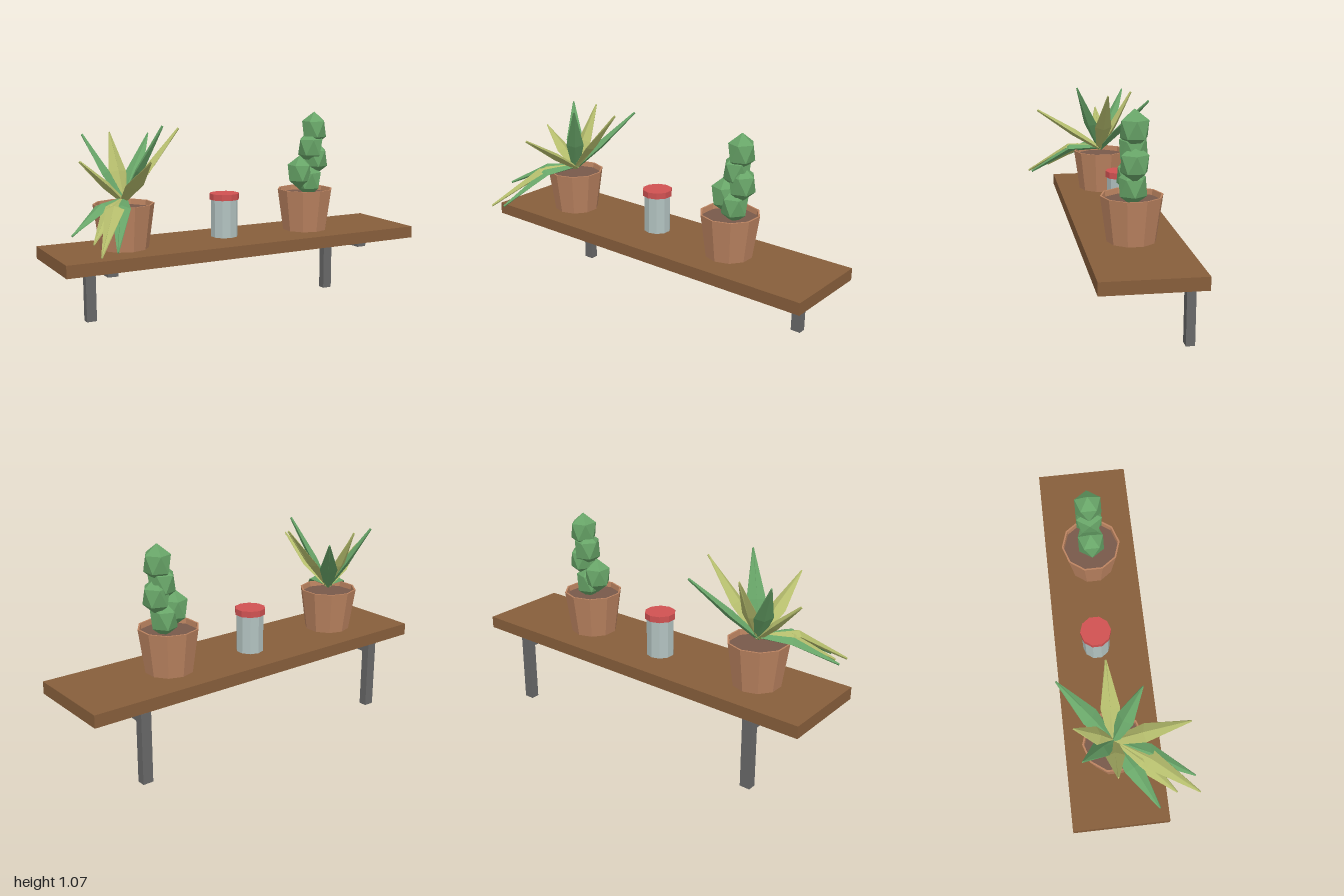
import * as THREE from 'three';

const mat = (name, color, extra = {}) =>
  Object.assign(new THREE.MeshStandardMaterial({ color, flatShading: true, ...extra }), { name });

export function createModel() {
  const root = new THREE.Group();
  root.name = 'plantShelf';
  const wood = mat('wood', 0x875e3b);
  const metal = mat('metal', 0x686868);
  const clay = mat('clay', 0xbb8360);
  const soil = mat('soil', 0x78594a);
  const tin = mat('tin', 0xb2c2c0);
  const red = mat('red', 0xd05252);
  const green = mat('green', 0x68a568);
  const olive = mat('olive', 0xb4bc6c);

  const add = (parent, name, geo, material, x = 0, y = 0, z = 0) => {
    const mesh = new THREE.Mesh(geo, material);
    mesh.name = name;
    mesh.position.set(x, y, z);
    parent.add(mesh);
    return mesh;
  };
  const group = (name, x, y, z) => {
    const g = new THREE.Group();
    g.name = name;
    g.position.set(x, y, z);
    root.add(g);
    return g;
  };

  // Shelf board on two L-shaped brackets
  add(root, 'shelfBoard', new THREE.BoxGeometry(2, 0.063, 0.486), wood, 0, 0.39, -0.083);
  for (const side of [-1, 1]) {
    const bracket = group(side < 0 ? 'rightBracket' : 'leftBracket', side * 0.735, 0, 0);
    add(bracket, 'upright', new THREE.BoxGeometry(0.054, 0.358, 0.044), metal, 0, 0.179, -0.304);
    add(bracket, 'arm', new THREE.BoxGeometry(0.054, 0.045, 0.333), metal, 0, 0.3355, -0.1155);
  }

  // Lidded tin
  const can = group('tinCan', -0.047, 0.421, -0.108);
  add(can, 'canBody', new THREE.CylinderGeometry(0.071, 0.071, 0.2, 10), tin, 0, 0.1, 0);
  add(can, 'canLid', new THREE.CylinderGeometry(0.079, 0.079, 0.032, 10), red, 0, 0.215, 0);

  // Ten-sided pot with a thin rim and sunken soil
  const pot = (parent) => {
    const profile = [[0, 0], [0.121, 0], [0.153, 0.225], [0.144, 0.225], [0.14, 0.19]]
      .map(([r, y]) => new THREE.Vector2(r, y));
    add(parent, 'pot', new THREE.LatheGeometry(profile, 10), clay);
    add(parent, 'soil', new THREE.CylinderGeometry(0.141, 0.138, 0.02, 10), soil, 0, 0.188, 0);
  };

  // Cactus: stacked faceted lobes
  const cactus = group('pottedCactus', 0.44, 0.421, -0.082);
  pot(cactus);
  const lobe = new THREE.IcosahedronGeometry(0.0765, 0);
  lobe.rotateX(-Math.atan2(0.851, 0.526)); // one corner straight up
  lobe.rotateY(Math.PI / 2);
  lobe.scale(0.95, 1.23, 1);
  [[0.055, 0.55, 0], [0.032, 0.452, 1], [0.065, 0.39, 0], [0.025, 0.27, 1], [-0.035, 0.315, 0]]
    .forEach(([x, y, turn]) => {
      add(cactus, 'cactusLobe', lobe, green, x, y, 0).rotation.y = turn * Math.PI;
    });

  // Spear leaf: a four-sided tube, wide in the middle and narrow at both ends
  const leafGeometry = (tip, droops) => {
    const base = new THREE.Vector3(0, droops ? 0.245 : 0.235, 0);
    const mid = base.clone().lerp(tip, 0.42);
    if (droops) mid.y = 0.228;
    const centres = [base, mid, tip];
    const widths = [0.02, 0.047, 0.004];
    const depths = [0.012, 0.02, 0.006];
    const dir = tip.clone().sub(base).normalize();
    const side = new THREE.Vector3(dir.z, 0, -dir.x).normalize();
    const up = side.clone().cross(dir);
    const geo = new THREE.CylinderGeometry(1, 1, 1, 4, 2);
    const p = geo.attributes.position;
    const v = new THREE.Vector3();
    for (let i = 0; i < p.count; i++) {
      const k = Math.round((p.getY(i) + 0.5) * 2);
      v.copy(centres[k])
        .addScaledVector(side, p.getX(i) * widths[k])
        .addScaledVector(up, p.getZ(i) * depths[k]);
      p.setXYZ(i, v.x, v.y, v.z);
    }
    geo.computeVertexNormals();
    return geo;
  };

  // Leafy plant: seven upright leaves and four drooping over the rim
  const plant = group('pottedLeafPlant', -0.622, 0.421, -0.082);
  pot(plant);
  const tips = [
    [-0.622, 0.89, 0.282, olive], [-0.32, 1.005, -0.083, olive], [-0.387, 0.965, -0.322, green],
    [-0.473, 1.032, 0.07, green], [-0.622, 0.985, -0.262, olive], [-0.775, 0.982, -0.235, green],
    [-0.842, 0.865, -0.083, olive],
    [-0.952, 0.545, 0.11, green], [-0.88, 0.515, 0.205, olive],
    [-0.885, 0.478, 0.322, olive], [-0.803, 0.49, 0.308, green],
  ];
  tips.forEach(([x, y, z, material]) => {
    const tip = new THREE.Vector3(x, y, z).sub(plant.position);
    const droops = y < 0.6;
    add(plant, droops ? 'droopingLeaf' : 'uprightLeaf', leafGeometry(tip, droops), material);
  });
  return root;
}
